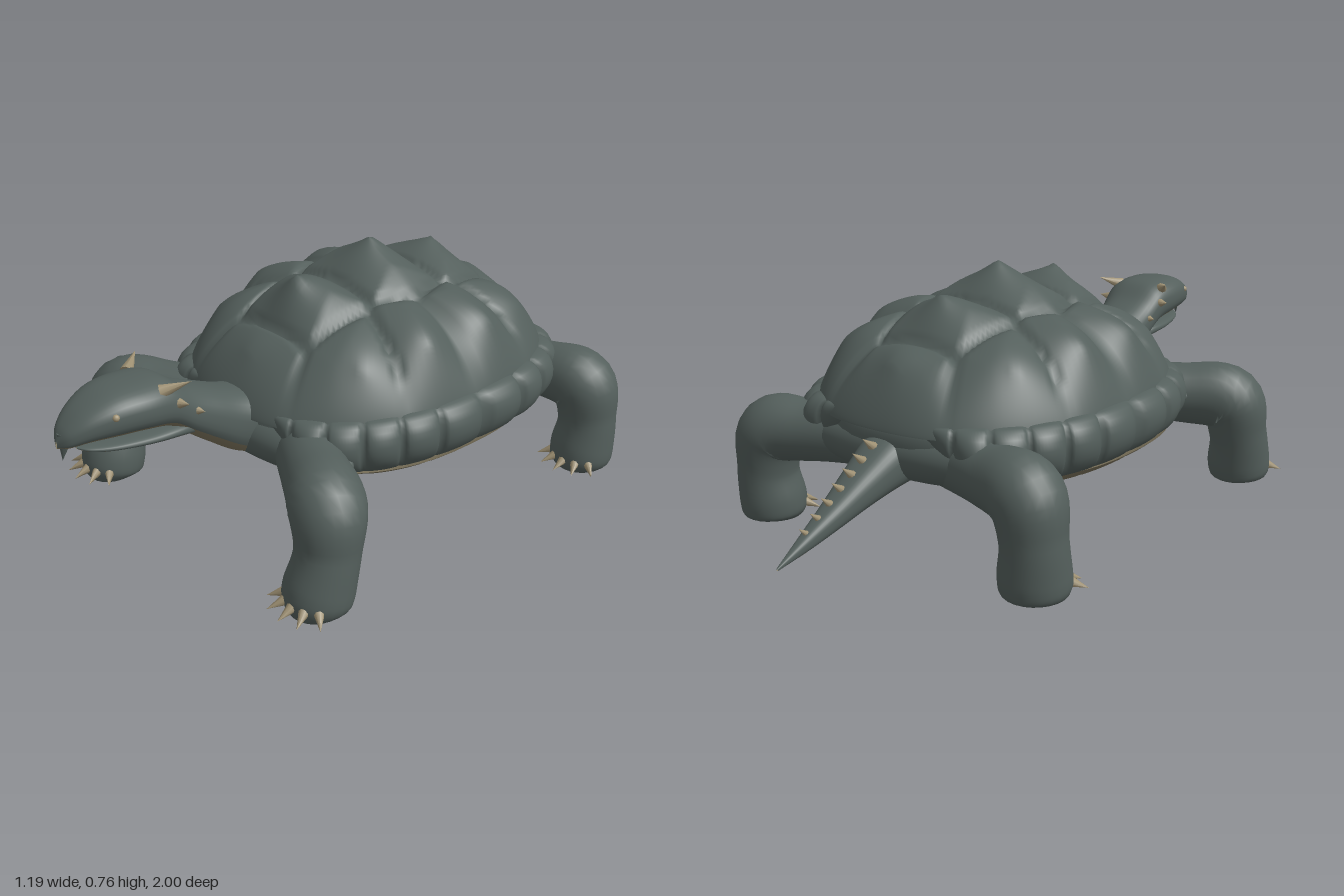
import * as THREE from 'three';

const mat = (name, color) => {
  const m = new THREE.MeshStandardMaterial({ color, side: THREE.DoubleSide });
  m.name = name;
  return m;
};
const V = (x, y, z) => new THREE.Vector3(x, y, z);
const smooth = THREE.MathUtils.smoothstep;
const spow = (c, e) => Math.sign(c) * Math.abs(c) ** e;

// Grid surface from a rule fn(u, v); u may close on itself
function surface(nu, nv, closed, fn) {
  const pos = [], idx = [], cols = closed ? nu : nu + 1;
  for (let j = 0; j <= nv; j++)
    for (let i = 0; i < cols; i++) pos.push(...fn(i / nu, j / nv));
  for (let j = 0; j < nv; j++)
    for (let i = 0; i < nu; i++) {
      const a = j * cols + i, b = j * cols + ((i + 1) % cols), c = a + cols, d = b + cols;
      idx.push(a, b, c, b, d, c);
    }
  const g = new THREE.BufferGeometry();
  g.setAttribute('position', new THREE.Float32BufferAttribute(pos, 3));
  g.setIndex(idx);
  g.computeVertexNormals();
  return g;
}

// Smooth interpolation of a list of number rows
function rows(list, t) {
  const f = t * (list.length - 1), i = Math.min(Math.floor(f), list.length - 2), k = f - i;
  const at = n => list[Math.max(0, Math.min(list.length - 1, n))];
  return list[i].map((_, c) => {
    const [p0, p1, p2, p3] = [at(i - 1)[c], at(i)[c], at(i + 1)[c], at(i + 2)[c]];
    return p1 + 0.5 * k * (p2 - p0 + k * (2 * p0 - 5 * p1 + 4 * p2 - p3 + k * (3 * (p1 - p2) + p3 - p0)));
  });
}

// Loft of slightly boxy sections along z; each row is [z, half width, top, bottom]; angles in degrees pick an arc
function loft(list, from, to) {
  return surface(24, list.length * 5, false, (u, v) => {
    const [z, w, top, bot] = rows(list, v), a = THREE.MathUtils.degToRad(from + (to - from) * u);
    return [w * spow(Math.cos(a), 0.8), (top + bot) / 2 + (top - bot) / 2 * spow(Math.sin(a), 0.8), z];
  });
}

// Tapered limb; each row is [x, y, z, radius]
function limb(list) {
  const curve = t => rows(list, Math.max(0, Math.min(1, t)));
  return surface(24, 48, true, (u, v) => {
    const [x, y, z, r] = curve(v), a = curve(v - 0.02), b = curve(v + 0.02);
    const t = V(b[0] - a[0], b[1] - a[1], b[2] - a[2]).normalize();
    const n = V(0, 0, 1).cross(t).normalize(), bi = t.clone().cross(n), an = u * Math.PI * 2;
    const p = V(x, y, z).addScaledVector(n, Math.max(r, 0) * Math.cos(an)).addScaledVector(bi, Math.max(r, 0) * Math.sin(an));
    return [p.x, Math.max(p.y, 0), p.z];
  });
}

// Oval shell outline point for angle t
const outline = t => [0.46 * spow(Math.cos(t), 0.82), 0.55 * spow(Math.sin(t), 0.82)];
const ZC = -0.085;

// Scutes of the carapace: [x, z, peak height]
const scutes = [[0, 0.38, 0.03], [0, 0.2, 0.1], [0, -0.09, 0.11], [0, -0.35, 0.08], [0, -0.56, 0.07]];
for (const s of [-1, 1])
  for (const [x, z, h] of [[0.32, 0.24, 0.05], [0.38, 0.04, 0.085], [0.38, -0.2, 0.085], [0.31, -0.42, 0.06]])
    scutes.push([s * x, z, h]);

function carapace() {
  return surface(144, 56, true, (u, v) => {
    const r = Math.sin(v * Math.PI / 2), [ox, oz] = outline(u * Math.PI * 2);
    const x = ox * r, z = ZC + oz * r;
    const near = scutes.map(([sx, sz, h]) => [Math.hypot(x - sx, z - sz), h]).sort((a, b) => a[0] - b[0]);
    const e = (near[1][0] - near[0][0]) / (near[1][0] + near[0][0]);
    const fade = 1 - r ** 8;
    const bump = near[0][1] * e ** 0.85 - 0.012 * (1 - smooth(e, 0, 0.1));
    return [x, 0.38 + 0.27 * Math.max(0, 1 - r ** 2.6) ** 0.75 + bump * fade, z];
  });
}

// Rim of bulging plates, deep at the flanks and thin at the ends
function rim() {
  return surface(336, 12, true, (u, v) => {
    const t = u * Math.PI * 2, [ox, oz] = outline(t);
    const side = smooth(Math.abs(Math.cos(t)), 0.2, 0.6);
    const bulge = Math.abs(Math.sin(u * Math.PI * 28)) ** 0.35;
    const a = v * Math.PI;
    const k = 0.97 + Math.sin(a) * (0.02 + side * (0.065 + 0.065 * bulge)) - 0.06 * v;
    return [ox * k, 0.41 - (0.05 + 0.115 * side) * (1 - Math.cos(a)) / 2 + 0.006 * side * bulge, ZC + oz * k];
  });
}

// Skin under the shell; rows are [outline scale, height]
function bodySkin() {
  const profile = [[0.8, 0.41], [0.95, 0.385], [0.96, 0.3], [0.87, 0.24], [0.5, 0.22], [0, 0.22]];
  return surface(72, 24, true, (u, v) => {
    const [k, y] = rows(profile, v), [ox, oz] = outline(u * Math.PI * 2);
    return [ox * k, y, ZC + oz * k];
  });
}

// Belly plates with grooves along the middle and across
function plastron() {
  return surface(144, 64, true, (u, v) => {
    const r = 1 - v, [ox, oz] = outline(u * Math.PI * 2);
    const x = ox * r, z = -0.06 + oz * 0.91 * r;
    const row = Math.abs(((z + 0.94) / 0.16) % 1 - 0.5) * 0.16;
    const groove = Math.max(1 - smooth(Math.abs(x), 0, 0.02), 1 - smooth(row, 0, 0.02));
    return [x, 0.162 + 0.095 * r ** 4 + 0.011 * groove * (1 - r ** 6), z];
  });
}

export function createModel() {
  const skin = mat('slate green skin', 0x545f5c);
  const belly = mat('tan belly', 0x80775f);
  const horn = mat('pale horn', 0xa09274);
  const model = new THREE.Group();
  model.name = 'turtle';

  const add = (parent, name, geo, material) => {
    const m = new THREE.Mesh(geo, material);
    m.name = name;
    parent.add(m);
    return m;
  };
  // Pointed cone standing on a base point and leaning along a direction
  const spike = (parent, name, base, dir, len, r, material = horn) => {
    const m = add(parent, name, new THREE.ConeGeometry(r, len, 8), material);
    dir.normalize();
    m.quaternion.setFromUnitVectors(V(0, 1, 0), dir);
    m.position.copy(base).addScaledVector(dir, len / 2);
  };

  // Shell and body
  add(model, 'carapace', carapace(), skin);
  add(model, 'marginalPlates', rim(), skin);
  add(model, 'bodySkin', bodySkin(), skin);
  add(model, 'plastron', plastron(), belly);

  // Skin joining the limbs across the chest and the hips
  for (const [name, z, depth] of [['chest', 0.36, 0.11], ['hips', -0.52, 0.105]]) {
    const m = add(model, name, new THREE.SphereGeometry(1, 32, 20), skin);
    m.scale.set(0.4, 0.085, depth);
    m.position.set(0, 0.307, z);
  }

  // Neck and head
  const head = [[0.34, 0.13, 0.42, 0.22], [0.46, 0.105, 0.45, 0.255], [0.55, 0.1, 0.485, 0.315], [0.63, 0.1, 0.52, 0.375],
    [0.7, 0.108, 0.568, 0.425], [0.78, 0.113, 0.578, 0.445], [0.86, 0.1, 0.573, 0.452], [0.93, 0.073, 0.545, 0.455],
    [0.98, 0.04, 0.505, 0.45], [1, 0.004, 0.47, 0.45]];
  add(model, 'neckAndHead', loft(head, -32, 212), skin);
  add(model, 'throat', loft(head, 212, 328), belly);
  const jaw = [[0.58, 0.06, 0.42, 0.36], [0.66, 0.092, 0.438, 0.39], [0.76, 0.09, 0.438, 0.402],
    [0.86, 0.066, 0.437, 0.412], [0.92, 0.035, 0.436, 0.42], [0.945, 0.003, 0.434, 0.43]];
  add(model, 'lowerJaw', loft(jaw, -20, 200), skin);
  add(model, 'chin', loft(jaw, 200, 340), belly);
  spike(model, 'beakHook', V(0, 0.485, 0.972), V(0, -1, 0.2), 0.075, 0.024, skin);

  // Tail with a ridge of spines
  const tail = [[-1, 0.003, 0.115, 0.108], [-0.9, 0.022, 0.175, 0.13], [-0.8, 0.041, 0.235, 0.158],
    [-0.7, 0.06, 0.3, 0.187], [-0.6, 0.08, 0.36, 0.21], [-0.48, 0.1, 0.385, 0.23]];
  add(model, 'tail', loft(tail, -48, 228), skin);
  add(model, 'tailUnderside', loft(tail, 228, 312), belly);
  for (let i = 0; i < 7; i++) {
    const z = -0.635 - i * 0.043;
    spike(model, 'tailSpine', V(0, 0.33 + (z + 0.635) * 0.62, z), V(0, 0.65, -0.8), 0.06 - i * 0.004, 0.016 - i * 0.001);
  }

  // Limbs, claws, horns and eyes on both sides
  const front = [[0.16, 0.3, 0.33, 0.085], [0.34, 0.295, 0.43, 0.095], [0.465, 0.28, 0.5, 0.105], [0.492, 0.17, 0.525, 0.09],
    [0.487, 0.07, 0.55, 0.098], [0.487, 0.025, 0.56, 0.09], [0.487, 0.005, 0.56, 0.055], [0.487, 0, 0.56, 0]];
  const hind = [[0.16, 0.3, -0.5, 0.085], [0.32, 0.295, -0.545, 0.088], [0.45, 0.28, -0.575, 0.103], [0.48, 0.17, -0.58, 0.09],
    [0.477, 0.07, -0.57, 0.098], [0.477, 0.025, -0.565, 0.09], [0.477, 0.005, -0.565, 0.055], [0.477, 0, -0.565, 0]];
  for (const side of [1, -1]) {
    const half = new THREE.Group();
    half.name = side > 0 ? 'leftSide' : 'rightSide';
    half.scale.x = side;
    model.add(half);
    for (const [name, path] of [['frontLeg', front], ['hindLeg', hind]]) {
      add(half, name, limb(path), skin);
      const [x, , z] = path[5];
      for (let i = -2; i <= 2; i++) {
        const a = i * 0.46, dir = V(Math.sin(a), -0.4, Math.cos(a));
        spike(half, name + 'Claw', V(x + 0.08 * Math.sin(a), 0.052, z + 0.08 * Math.cos(a)), dir, 0.06, 0.017);
      }
    }
    spike(half, 'browHorn', V(0.08, 0.55, 0.73), V(0.55, 0.3, -0.7), 0.085, 0.02);
    spike(half, 'cheekHorn', V(0.1, 0.51, 0.69), V(1, 0.15, -0.3), 0.035, 0.015);
    spike(half, 'neckHorn', V(0.09, 0.465, 0.63), V(1, 0.1, -0.3), 0.03, 0.014);
    const eye = add(half, 'eye', new THREE.SphereGeometry(0.01, 12, 8), horn);
    eye.position.set(0.09, 0.528, 0.875);
  }
  return model;
}
